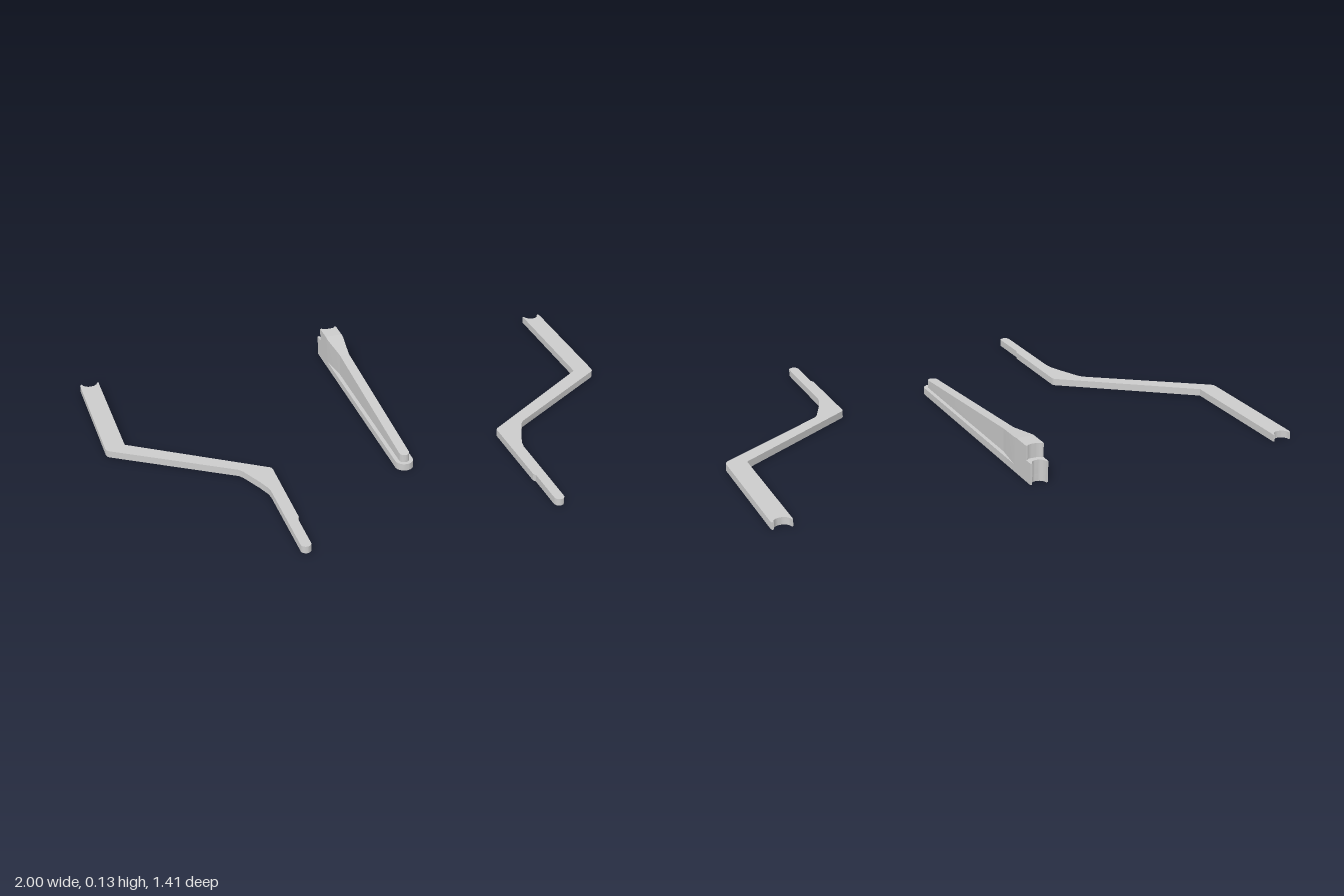
import * as THREE from 'three';
import { toCreasedNormals } from 'three/addons/utils/BufferGeometryUtils.js';

const material = new THREE.MeshStandardMaterial({ color: 0xcccccc });

// Points on an arc in plan [x, z]; angles in degrees, 90 points to the front
function arc(cx, cz, rx, rz, from, to, steps = 12) {
  return Array.from({ length: steps + 1 }, (_, i) => {
    const a = THREE.MathUtils.degToRad(from + ((to - from) * i) / steps);
    return [cx + rx * Math.cos(a), cz + rz * Math.sin(a)];
  });
}

// Upright prism over a plan outline; the top height may depend on z
function prism(name, outline, y0, top) {
  const shape = new THREE.Shape(outline.map(([x, z]) => new THREE.Vector2(x, -z)));
  const geo = new THREE.ExtrudeGeometry(shape, { depth: 1, bevelEnabled: false });
  geo.rotateX(-Math.PI / 2);
  const p = geo.attributes.position;
  for (let i = 0; i < p.count; i++) {
    p.setY(i, p.getY(i) > 0.5 ? top(p.getZ(i)) : y0);
  }
  geo.computeVertexNormals();
  const mesh = new THREE.Mesh(toCreasedNormals(geo, 0.5), material);
  mesh.name = name;
  return mesh;
}

const line = (z0, y0, z1, y1) => (z) => y0 + ((y1 - y0) * (z - z0)) / (z1 - z0);

export function createModel() {
  const group = new THREE.Group();
  const baseTop = 0.027;

  // Cranked side arms with a rounded tip and a hollow rear end
  const arm = [
    [0.925, -0.7], [0.931, -0.7],
    ...arc(0.961, -0.7, 0.03, 0.027, 180, 0),
    [0.997, -0.7], [1, -0.69],
    ...arc(0.972, -0.168, 0.028, 0.028, 0, 57, 6),
    [0.565, 0.14], [0.553, 0.158], [0.515, 0.245], [0.497, 0.295], [0.493, 0.32],
    ...arc(0.473, 0.685, 0.019, 0.02, 0, 180, 10),
    [0.454, 0.525], [0.447, 0.515], [0.445, 0.175],
    ...arc(0.465, 0.174, 0.02, 0.02, 180, 237, 5),
    [0.925, -0.175],
  ];
  group.add(prism('leftArm', arm, 0, () => baseTop));
  group.add(prism('rightArm', arm.map(([x, z]) => [-x, z]), 0, () => baseTop));

  // Central fin, built along its own mid line
  const fin = new THREE.Group();
  fin.name = 'centralFin';
  fin.position.x = 0.034;
  const w = 0.034, n = 0.019;
  const rearNotch = [[-w, -0.706], [-0.027, -0.706], ...arc(0, -0.706, 0.027, 0.025, 180, 0), [w, -0.706]];
  fin.add(prism('finBase', [...rearNotch, ...arc(0, 0.266, w, w, 0, 180)], 0, () => baseTop));
  fin.add(prism('finLedge', [...rearNotch, [w, -0.66], [-w, -0.66]], baseTop, () => 0.08));

  // Tapering blade, flare and tall rear block
  fin.add(prism('finBlade', [[-n, -0.45], [n, -0.45], ...arc(0, 0.266, n, n, 0, 180)],
    baseTop, line(0.285, 0.057, -0.45, 0.115)));
  fin.add(prism('finFlare', [[-w, -0.59], [w, -0.59], [w, -0.57], [n, -0.45], [-n, -0.45], [-w, -0.57]],
    baseTop, line(-0.45, 0.115, -0.59, 0.133)));
  fin.add(prism('finBlock', [[-w, -0.668], ...arc(0, -0.668, 0.027, 0.01, 180, 0), [w, -0.668], [w, -0.59], [-w, -0.59]],
    baseTop, () => 0.133));
  group.add(fin);
  return group;
}
